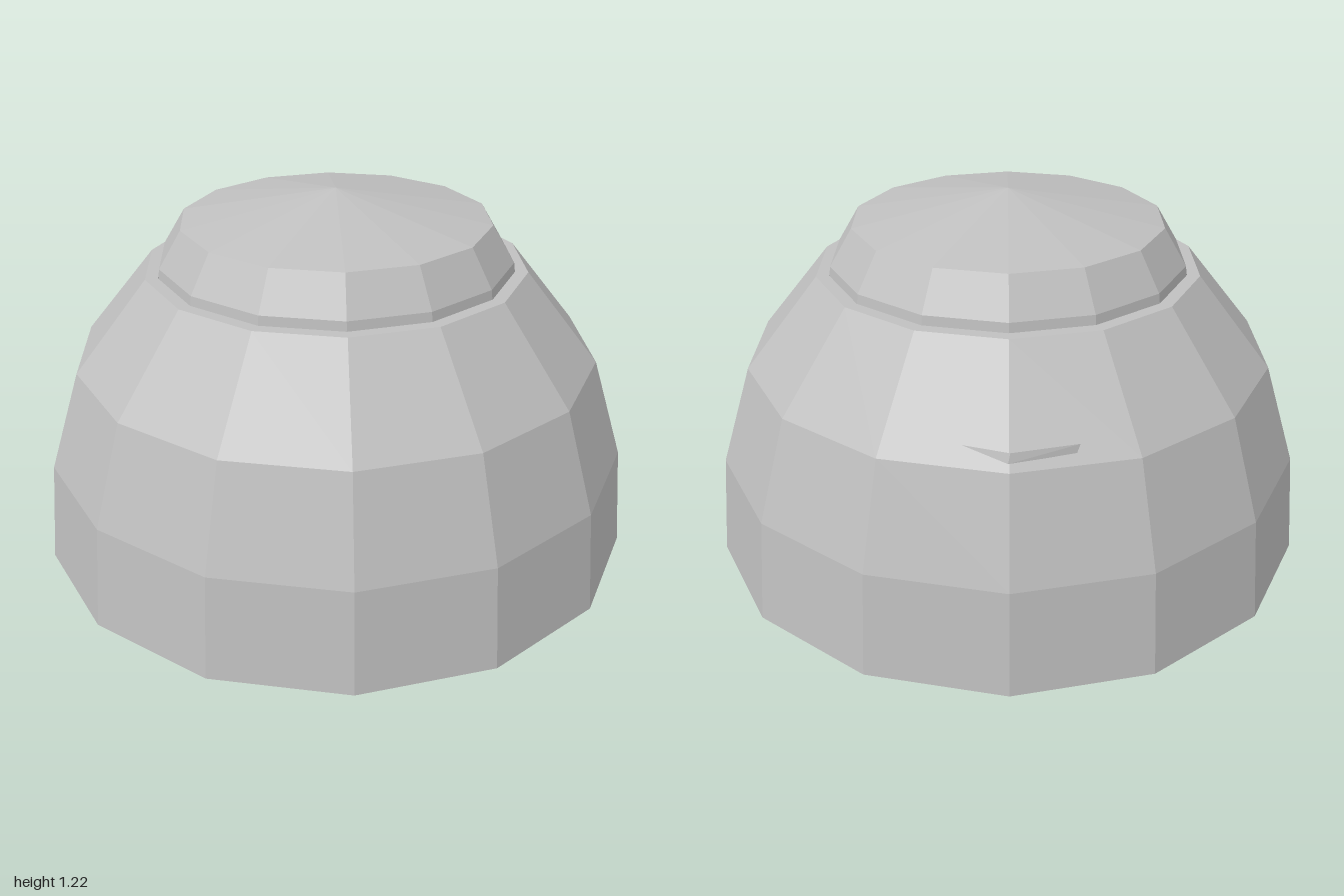
import * as THREE from 'three';

const SIDES = 14;

export function createModel() {
  const model = new THREE.Group();
  model.name = 'dome';
  const grey = new THREE.MeshStandardMaterial({ color: 0xbfbfbf, flatShading: true, side: THREE.DoubleSide });
  grey.name = 'pale grey';

  const add = (name, geometry) => {
    const mesh = new THREE.Mesh(geometry, grey);
    mesh.name = name;
    model.add(mesh);
  };
  // Faceted shell turned from radius/height pairs
  const shell = (profile) =>
    new THREE.LatheGeometry(profile.map(([r, y]) => new THREE.Vector2(r, y)), SIDES);

  // Open-bottomed outer dome with a flat collar at the top
  add('outerDome', shell([[1, 0], [0.972, 0.34], [0.87, 0.67], [0.63, 0.97], [0.588, 0.97]]));

  // Cap whose skirt reaches down inside the dome
  add('cap', shell([[0.63, 0.555], [0.612, 0.78], [0.583, 1.0], [0.51, 1.122], [0, 1.22]]));

  // Thin sliver folded around one corner of the dome
  const sliver = new THREE.BufferGeometry();
  sliver.setAttribute('position', new THREE.Float32BufferAttribute([
    0.715, 0.727, -0.4,
    0.67, 0.692, -0.53,
    0.66, 0.722, -0.53,
    0.5, 0.725, -0.655,
    0.51, 0.697, -0.65,
  ], 3));
  sliver.setIndex([0, 2, 1, 1, 2, 3, 1, 3, 4]);
  sliver.computeVertexNormals();
  add('sideSliver', sliver);

  return model;
}
